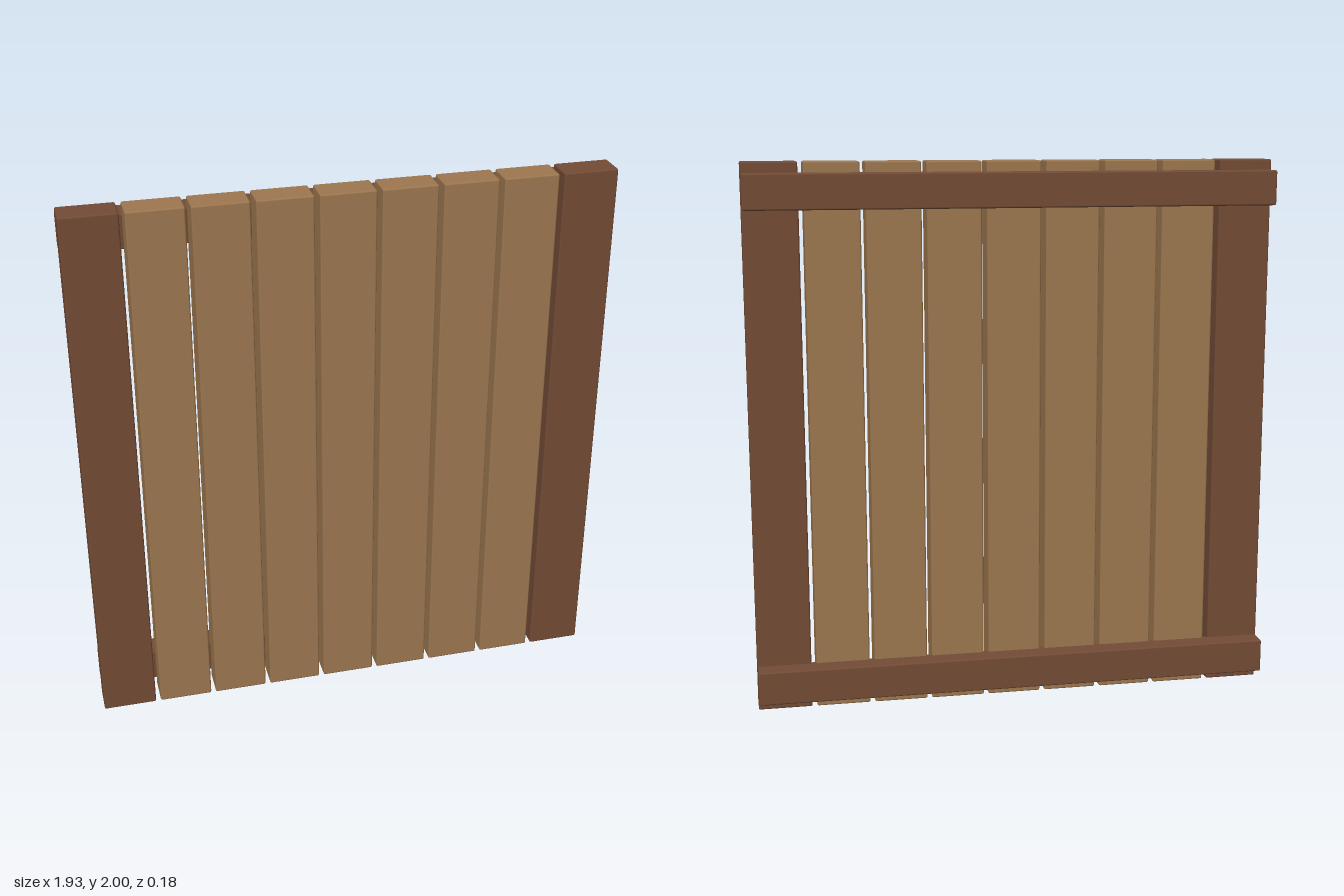
import * as THREE from 'three';
import { RoundedBoxGeometry } from 'three/addons/geometries/RoundedBoxGeometry.js';

const lightWood = new THREE.MeshStandardMaterial({ color: 0x9e7850 });
const darkWood = new THREE.MeshStandardMaterial({ color: 0x744c36 });

// A timber board with slightly eased edges
function board(name, size, position, material) {
  const mesh = new THREE.Mesh(new RoundedBoxGeometry(...size, 1, 0.006), material);
  mesh.position.set(...position);
  mesh.name = name;
  return mesh;
}

export function createModel() {
  const model = new THREE.Group();
  model.name = 'fencePanel';

  // Nine upright boards; the outer two are dark posts
  const count = 9, pitch = 0.216;
  for (let i = 0; i < count; i++) {
    const isPost = i === 0 || i === count - 1;
    const x = (i - (count - 1) / 2) * pitch;
    model.add(board(isPost ? 'sidePost' : 'slat', [0.198, 2, 0.11], [x, 1, 0.036],
      isPost ? darkWood : lightWood));
  }

  // Two cross rails let into the back of the boards
  for (const [name, y] of [['bottomRail', 0.106], ['topRail', 1.899]]) {
    model.add(board(name, [1.922, 0.126, 0.09], [0, y, -0.046], darkWood));
  }
  return model;
}
